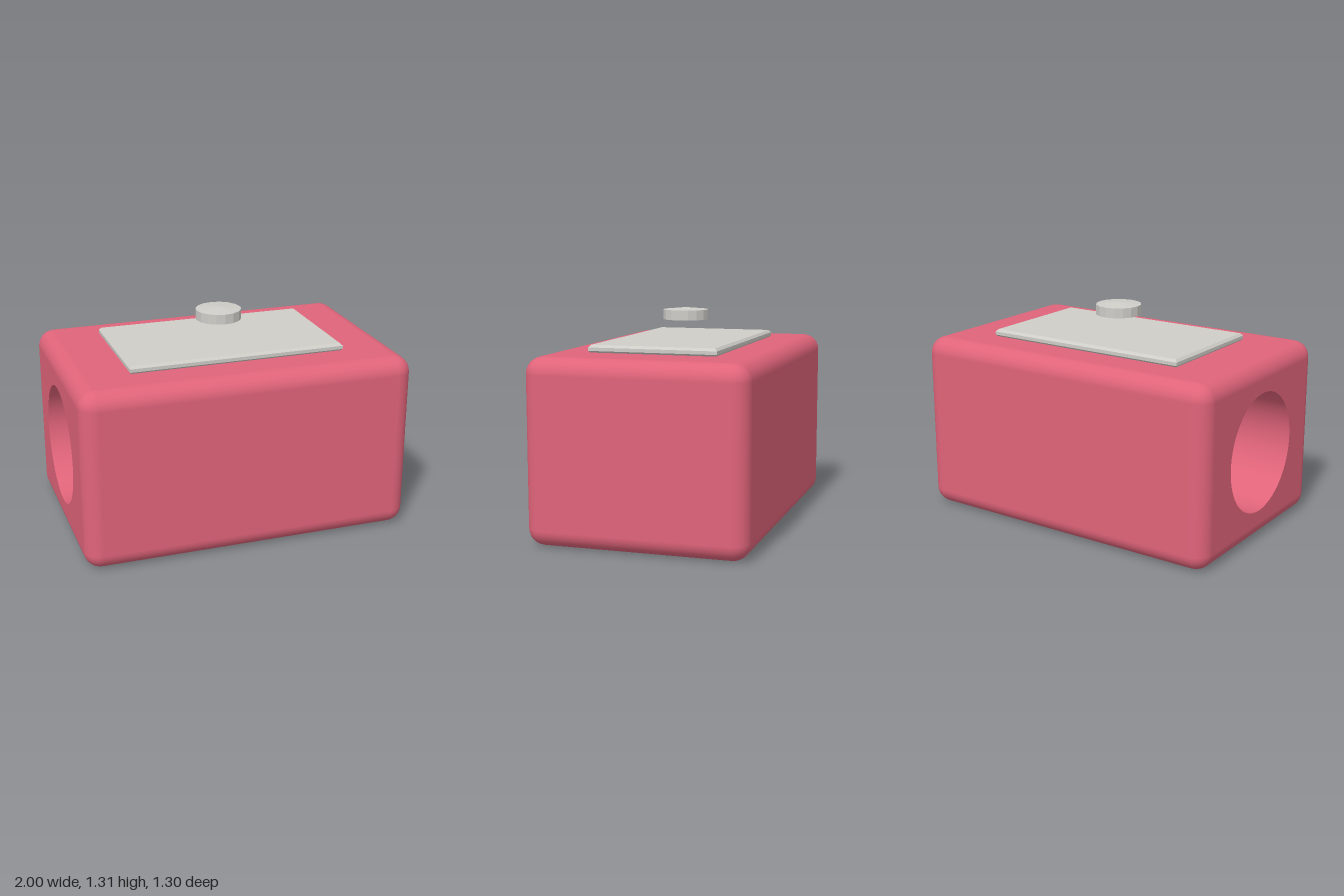
import * as THREE from 'three';
import { RoundedBoxGeometry } from 'three/addons/geometries/RoundedBoxGeometry.js';

const W = 2, H = 1.08, D = 1.3, BEVEL = 0.1;
const HOLE_R = 0.36, HOLE_DEPTH = 1.2;

function rect(w, h, Type = THREE.Shape) {
  return new Type([
    new THREE.Vector2(-w / 2, -h / 2), new THREE.Vector2(w / 2, -h / 2),
    new THREE.Vector2(w / 2, h / 2), new THREE.Vector2(-w / 2, h / 2),
  ]);
}

// Rounded block with the flat centre of its -x face left out
function openBlock() {
  const box = new RoundedBoxGeometry(W, H, D, 4, BEVEL);
  const src = box.index ? box.toNonIndexed() : box;
  const p = src.attributes.position, n = src.attributes.normal;
  const pos = [], nor = [];
  for (let i = 0; i < p.count; i += 3) {
    if ([0, 1, 2].every(k => p.getX(i + k) < -W / 2 + 1e-4)) continue;
    for (let k = 0; k < 3; k++) {
      pos.push(p.getX(i + k), p.getY(i + k), p.getZ(i + k));
      nor.push(n.getX(i + k), n.getY(i + k), n.getZ(i + k));
    }
  }
  const geo = new THREE.BufferGeometry();
  geo.setAttribute('position', new THREE.Float32BufferAttribute(pos, 3));
  geo.setAttribute('normal', new THREE.Float32BufferAttribute(nor, 3));
  return geo;
}

export function createModel() {
  const model = new THREE.Group();
  model.name = 'pencilSharpener';
  const red = new THREE.MeshStandardMaterial({ color: 0xe0647a });
  red.name = 'red plastic';
  const steel = new THREE.MeshStandardMaterial({ color: 0xcfcdc8 });
  steel.name = 'grey steel';

  const add = (parent, name, geo, mat, x, y, z) => {
    const mesh = new THREE.Mesh(geo, mat);
    mesh.name = name;
    mesh.position.set(x, y, z);
    parent.add(mesh);
    return mesh;
  };

  // Body with a blind round hole in its -x end
  const body = new THREE.Group();
  body.name = 'body';
  body.position.y = H / 2;
  model.add(body);
  add(body, 'block', openBlock(), red, 0, 0, 0);

  const face = rect(D - 2 * BEVEL, H - 2 * BEVEL);
  face.holes.push(new THREE.Path().absarc(0, 0, HOLE_R, 0, Math.PI * 2, true));
  add(body, 'holeFace', new THREE.ShapeGeometry(face, 32).rotateY(-Math.PI / 2), red, -W / 2, 0, 0);

  // Profile runs inward from the rim so the wall faces the axis
  const wall = new THREE.LatheGeometry(
    [new THREE.Vector2(HOLE_R, 0), new THREE.Vector2(HOLE_R, -HOLE_DEPTH)], 64);
  add(body, 'holeWall', wall.rotateZ(Math.PI / 2), red, -W / 2, 0, 0);
  add(body, 'holeEnd', new THREE.CircleGeometry(HOLE_R, 64).rotateY(-Math.PI / 2), red,
    -W / 2 + HOLE_DEPTH, 0, 0);

  // Chamfered blade plate on top
  const c = 0.015;
  const blade = new THREE.ExtrudeGeometry(rect(1.305 - 2 * c, 0.768 - 2 * c), {
    depth: 0.02, bevelEnabled: true, bevelThickness: c, bevelSize: c, bevelSegments: 1,
  }).rotateX(-Math.PI / 2);
  add(model, 'blade', blade, steel, 0, 1.075 + c, 0);

  // Faceted screw head with a shallow pointed top, above the blade
  const screw = new THREE.LatheGeometry([
    new THREE.Vector2(0, 0), new THREE.Vector2(0.138, 0),
    new THREE.Vector2(0.138, 0.06), new THREE.Vector2(0, 0.073),
  ], 16).toNonIndexed();
  screw.computeVertexNormals();
  add(model, 'screw', screw, steel, 0, 1.235, 0);

  return model;
}
